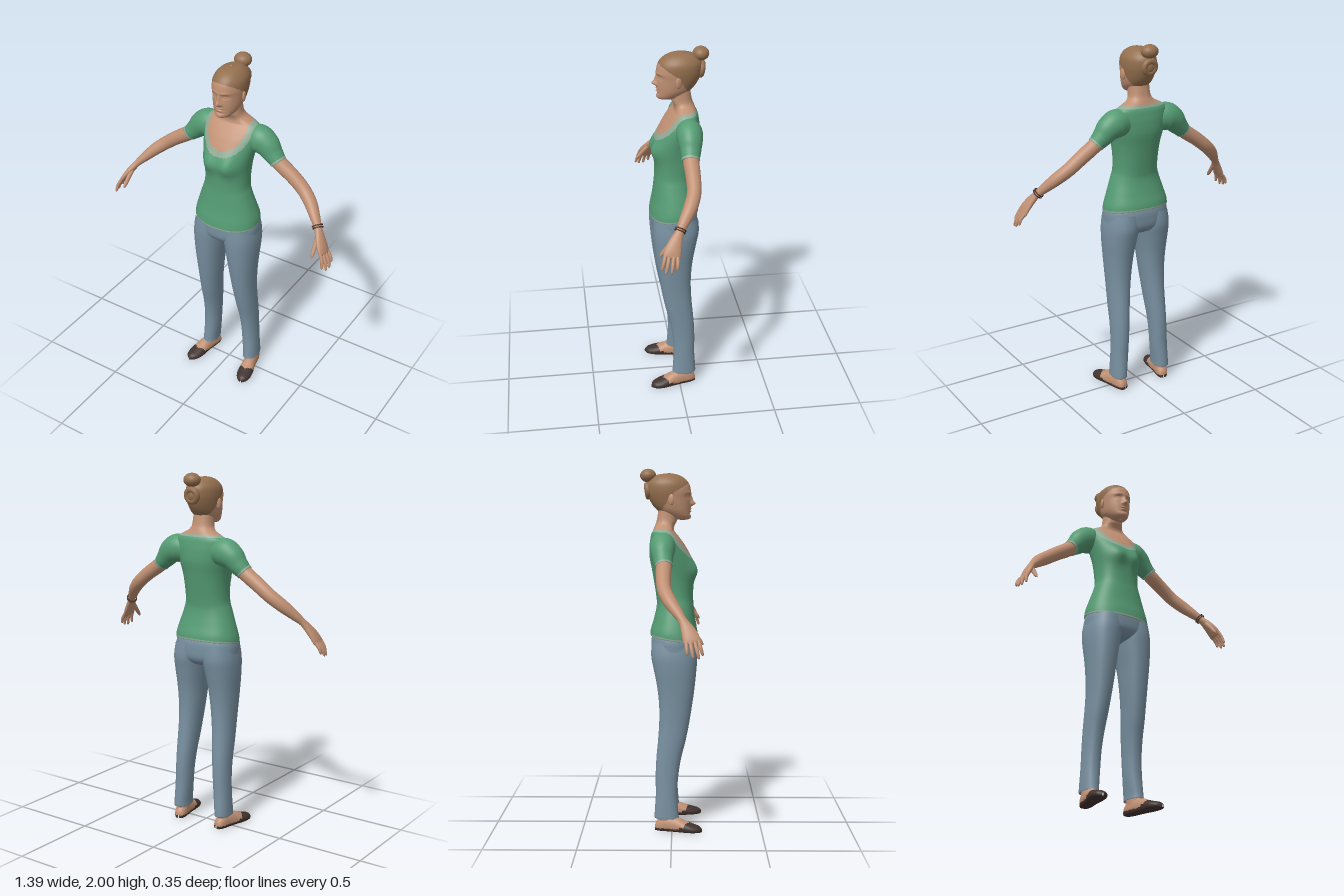
import * as THREE from 'three';

const mat = (name, color) => Object.assign(new THREE.MeshStandardMaterial({ color }), { name });
const M = {
  skin: mat('skin', 0xc09073), hair: mat('hair', 0x94704f), shirt: mat('shirt green', 0x559c74),
  trim: mat('shirt trim', 0x8fa994), jeans: mat('jeans blue', 0x7890a0),
  shoe: mat('shoe dark', 0x41332f), band: mat('bracelet', 0x4a3226),
};
const V = (x, y, z) => new THREE.Vector3(x, y, z);
const bump = (dx, dy, sx, sy) => Math.exp(-((dx / sx) ** 2) - (dy / sy) ** 2);

// Smooth interpolation through a list of equally long number rows
function sample(rows, t) {
  const f = t * (rows.length - 1), i = Math.min(Math.floor(f), rows.length - 2), u = f - i;
  const at = k => rows[Math.max(0, Math.min(rows.length - 1, k))];
  const [a, b, c, d] = [at(i - 1), at(i), at(i + 1), at(i + 2)];
  return b.map((_, k) => b[k] + 0.5 * u * (c[k] - a[k] + u * (2 * a[k] - 5 * b[k] + 4 * c[k] - d[k]
    + u * (3 * (b[k] - c[k]) + d[k] - a[k]))));
}

// Closed-ring surface; pick(centre of a triangle) chooses a material slot
function skinOver(nr, nc, point, pick) {
  const pos = [], slots = [[], [], []];
  for (let i = 0; i <= nr; i++) for (let j = 0; j < nc; j++)
    pos.push(...point(i / nr, (j / nc) * Math.PI * 2).toArray());
  const P = k => V(pos[3 * k], pos[3 * k + 1], pos[3 * k + 2]);
  const tri = (a, b, c) => slots[pick ? pick(P(a).add(P(b)).add(P(c)).divideScalar(3)) : 0].push(a, b, c);
  for (let i = 0; i < nr; i++) for (let j = 0; j < nc; j++) {
    const a = i * nc + j, b = i * nc + (j + 1) % nc;
    tri(a, b, a + nc);
    tri(b, b + nc, a + nc);
  }
  const g = new THREE.BufferGeometry();
  g.setAttribute('position', new THREE.Float32BufferAttribute(pos, 3));
  g.setIndex(slots.flat());
  let start = 0;
  if (pick) slots.forEach((s, k) => { if (s.length) g.addGroup(start, s.length, k); start += s.length; });
  g.computeVertexNormals();
  return g;
}

// Upright body: rows of [y, centre x, half width, front z, back z]
function upright(rows, nr, nc, power, adjust, pick) {
  const e = 2 / power, pw = s => Math.sign(s) * Math.abs(s) ** e;
  return skinOver(nr, nc, (t, a) => {
    const [y, cx, rx, zf, zb] = sample(rows, t);
    const p = V(cx + rx * pw(Math.sin(a)), y, (zf + zb) / 2 + (zf - zb) / 2 * pw(Math.cos(a)));
    if (adjust) adjust(p, Math.cos(a));
    return p;
  }, pick);
}

// Limb: rows of [x, y, z, radius along z, radius across]
function limb(rows, nr = 24, nc = 20) {
  return skinOver(nr, nc, (t, a) => {
    const r = sample(rows, t), c = V(r[0], r[1], r[2]);
    const q0 = sample(rows, Math.max(0, t - 0.01)), q1 = sample(rows, Math.min(1, t + 0.01));
    const T = V(q1[0] - q0[0], q1[1] - q0[1], q1[2] - q0[2]).normalize();
    const A = V(0, 0, 1).addScaledVector(T, -T.z).normalize(), B = T.clone().cross(A);
    return c.addScaledVector(A, r[3] * Math.cos(a)).addScaledVector(B, r[4] * Math.sin(a));
  });
}

function mirrored(geo) {
  const g = geo.clone().scale(-1, 1, 1), ix = g.index.array;
  for (let i = 0; i < ix.length; i += 3) [ix[i + 1], ix[i + 2]] = [ix[i + 2], ix[i + 1]];
  g.computeVertexNormals();
  return g;
}

export function createModel() {
  const root = new THREE.Group();
  root.name = 'woman';
  const add = (name, geo, m) => {
    const mesh = new THREE.Mesh(geo, m);
    mesh.name = name;
    root.add(mesh);
    return mesh;
  };
  const pair = (name, geo, m) => {
    add('left ' + name, geo, m);
    add('right ' + name, mirrored(geo), m);
  };

  // Shirt, chest and neck in one surface, with a scooped neckline
  const torso = [
    [1.072, 0, .182, .14, -.115], [1.073, 0, .189, .148, -.122], [1.11, 0, .185, .143, -.118],
    [1.17, 0, .167, .13, -.102], [1.25, 0, .14, .12, -.086], [1.3, 0, .127, .117, -.088],
    [1.38, 0, .127, .118, -.1], [1.45, 0, .135, .122, -.112], [1.52, 0, .148, .104, -.125],
    [1.58, 0, .158, .073, -.125], [1.62, 0, .16, .045, -.12], [1.645, 0, .153, .025, -.115],
    [1.662, 0, .132, .012, -.107], [1.68, 0, .095, .01, -.1], [1.695, 0, .072, .015, -.094],
    [1.72, 0, .06, .026, -.085], [1.78, 0, .056, .03, -.075]];
  add('shirt and neck', upright(torso, 150, 128, 2.25, (p, c) => {
    if (c > 0) p.z += .027 * c * (bump(p.x - .065, p.y - 1.445, .05, .06) + bump(p.x + .065, p.y - 1.445, .05, .06));
    p.y -= .13 * p.z * Math.max(0, 1 - (p.y - 1.072) / .15);
  }, p => {
    if (p.y + .13 * p.z < 1.081) return 1;
    if (p.z < -.06) return p.y > 1.672 ? 2 : p.y > 1.658 ? 1 : 0;
    const low = Math.min(0, p.y - 1.64);
    if (p.y > 1.672 || Math.hypot(p.x / .113, low / .112) < 1) return 2;
    return Math.hypot(p.x / .145, low / .142) < 1 ? 1 : 0;
  }), [M.shirt, M.trim, M.skin]);

  // Sleeves
  pair('sleeve', limb([[.08, 1.565, -.05, .05, .06], [.15, 1.58, -.05, .07, .078], [.2, 1.56, -.05, .066, .071],
    [.24, 1.52, -.047, .055, .056], [.274, 1.487, -.042, .047, .045]], 28, 32), M.shirt);
  pair('sleeve trim', limb([[.272, 1.489, -.042, .0475, .0455], [.281, 1.48, -.041, .047, .0445],
    [.281, 1.48, -.041, .036, .036]], 6, 32), M.trim);

  // Arms, palms, fingers and thumbs
  pair('arm', limb([[.2, 1.555, -.045, .04, .04], [.28, 1.482, -.042, .042, .041], [.37, 1.42, -.042, .039, .039],
    [.44, 1.367, -.035, .037, .037], [.5, 1.318, -.008, .036, .034], [.55, 1.268, .03, .029, .026],
    [.585, 1.23, .058, .023, .019], [.615, 1.187, .083, .035, .019], [.638, 1.15, .099, .043, .017],
    [.653, 1.122, .107, .04, .012], [.655, 1.118, .108, .002, .002]], 60, 28), M.skin);
  const fingers = [
    [[.643, 1.14, .136], [.672, 1.062, .16]], [[.648, 1.135, .118], [.688, 1.047, .141]],
    [[.653, 1.13, .097], [.692, 1.05, .112]], [[.655, 1.125, .076], [.687, 1.066, .082]]];
  fingers.forEach(([a, b], i) => {
    const at = (t, r, out) => [0, 1, 2].map(k => a[k] + (b[k] - a[k]) * t + (k === 0 ? out : 0)).concat(r, r);
    pair('finger ' + (i + 1), limb([at(0, .0105, 0), at(.5, .0095, .006), at(.9, .007, 0), at(1, .0005, 0)], 12, 10), M.skin);
  });
  pair('thumb', limb([[.6, 1.195, .09, .014, .014], [.605, 1.155, .125, .012, .012],
    [.608, 1.122, .152, .009, .009], [.61, 1.108, .163, .0005, .0005]], 12, 10), M.skin);

  // Bracelet on the left wrist
  for (const s of [-.006, .006]) {
    const ring = add('bracelet', new THREE.TorusGeometry(.027, .0035, 8, 28), M.band);
    const dir = V(.52, -.68, .45).normalize();
    ring.position.set(.58, 1.236, .054).addScaledVector(dir, s);
    ring.quaternion.setFromUnitVectors(V(0, 0, 1), dir);
  }

  // Trousers
  add('trouser seat', upright([[.925, 0, .03, .03, -.02], [.945, 0, .11, .1, -.08], [.98, 0, .18, .134, -.11],
    [1.03, 0, .189, .141, -.116], [1.075, 0, .184, .138, -.113], [1.12, 0, .165, .12, -.095]], 24, 56, 2.3), M.jeans);
  pair('trouser leg', upright([[.085, .142, .032, .02, -.07], [.07, .143, .042, .038, -.094], [.1, .142, .043, .036, -.096],
    [.2, .135, .046, .03, -.09], [.3, .13, .047, .035, -.091], [.4, .125, .051, .05, -.087], [.5, .12, .056, .075, -.078],
    [.6, .115, .061, .095, -.071], [.7, .111, .069, .111, -.071], [.8, .108, .078, .125, -.081],
    [.9, .103, .09, .135, -.1], [.98, .097, .096, .14, -.115], [1.06, .09, .09, .135, -.11]], 64, 40, 2.2), M.jeans);

  // Feet in low shoes, turned slightly outward
  const foot = [[-.095, .003, .02], [-.088, .024, .045], [-.055, .035, .08], [-.01, .036, .085], [.04, .039, .073],
    [.08, .044, .056], [.12, .043, .042], [.155, .029, .031], [.173, .003, .014]];
  const footGeo = skinOver(60, 40, (t, a) => {
    const [z, w, h] = sample(foot, t);
    return V(w * Math.cos(a), Math.max(0, h * (.35 + .65 * Math.sin(a))), z);
  }, p => (p.y < .016 || p.z > .1 - Math.abs(p.x) * .6 || p.z > .05 && p.y < .028 ? 1 : 0));
  footGeo.translate(0, 0, .05).rotateY(.2).translate(.143, 0, -.05);
  pair('foot and shoe', footGeo, [M.skin, M.shoe]);
  pair('ankle', upright([[.04, .143, .034, .015, -.08], [.09, .143, .034, .012, -.078], [.14, .141, .033, .012, -.075]], 8, 24, 2), M.skin);

  // Head with modelled face and pulled-back hair
  const head = [[1.722, 0, .004, .07, .05], [1.727, 0, .034, .094, 0], [1.742, 0, .052, .101, -.03],
    [1.77, 0, .069, .1, -.075], [1.8, 0, .078, .101, -.105], [1.84, 0, .085, .1, -.127], [1.88, 0, .089, .103, -.138],
    [1.92, 0, .085, .093, -.136], [1.95, 0, .066, .066, -.113], [1.968, 0, .04, .03, -.08], [1.976, 0, .002, -.01, -.02]];
  add('head', upright(head, 110, 112, 2.05, (p, c) => {
    if (c <= 0) return;
    const x = Math.abs(p.x);
    p.z += .024 * bump(x, p.y - 1.812, .012, .013) + .013 * bump(x, p.y - 1.835, .009, .022)
      + .005 * bump(x - .013, p.y - 1.807, .008, .008) - .009 * bump(x - .034, p.y - 1.85, .018, .011)
      + .005 * bump(x - .034, p.y - 1.848, .011, .005) + .004 * bump(x - .03, p.y - 1.87, .025, .007)
      + .006 * bump(x, p.y - 1.783, .02, .005) + .006 * bump(x, p.y - 1.77, .017, .006)
      - .004 * bump(x, p.y - 1.777, .024, .003) - .004 * bump(x, p.y - 1.757, .025, .006)
      + .004 * bump(x, p.y - 1.738, .02, .01);
  }, p => (p.y > Math.max(1.77, 1.862 + p.z * (p.z > 0 ? .65 : 1.5)) ? 1 : 0)), [M.skin, M.hair]);
  pair('ear', new THREE.SphereGeometry(1, 16, 12).scale(.009, .03, .018).rotateY(.35).translate(.086, 1.832, -.005), M.skin);

  // Top bun and coiled hair at the back
  add('bun', new THREE.SphereGeometry(1, 28, 20).scale(.048, .037, .044).translate(0, 1.963, -.132), M.hair);
  add('hair coil', new THREE.TorusGeometry(.032, .017, 12, 28).rotateX(-.15).translate(0, 1.88, -.134), M.hair);
  add('hair coil centre', new THREE.SphereGeometry(1, 16, 12).scale(.03, .03, .015).translate(0, 1.88, -.136), M.hair);
  return root;
}
